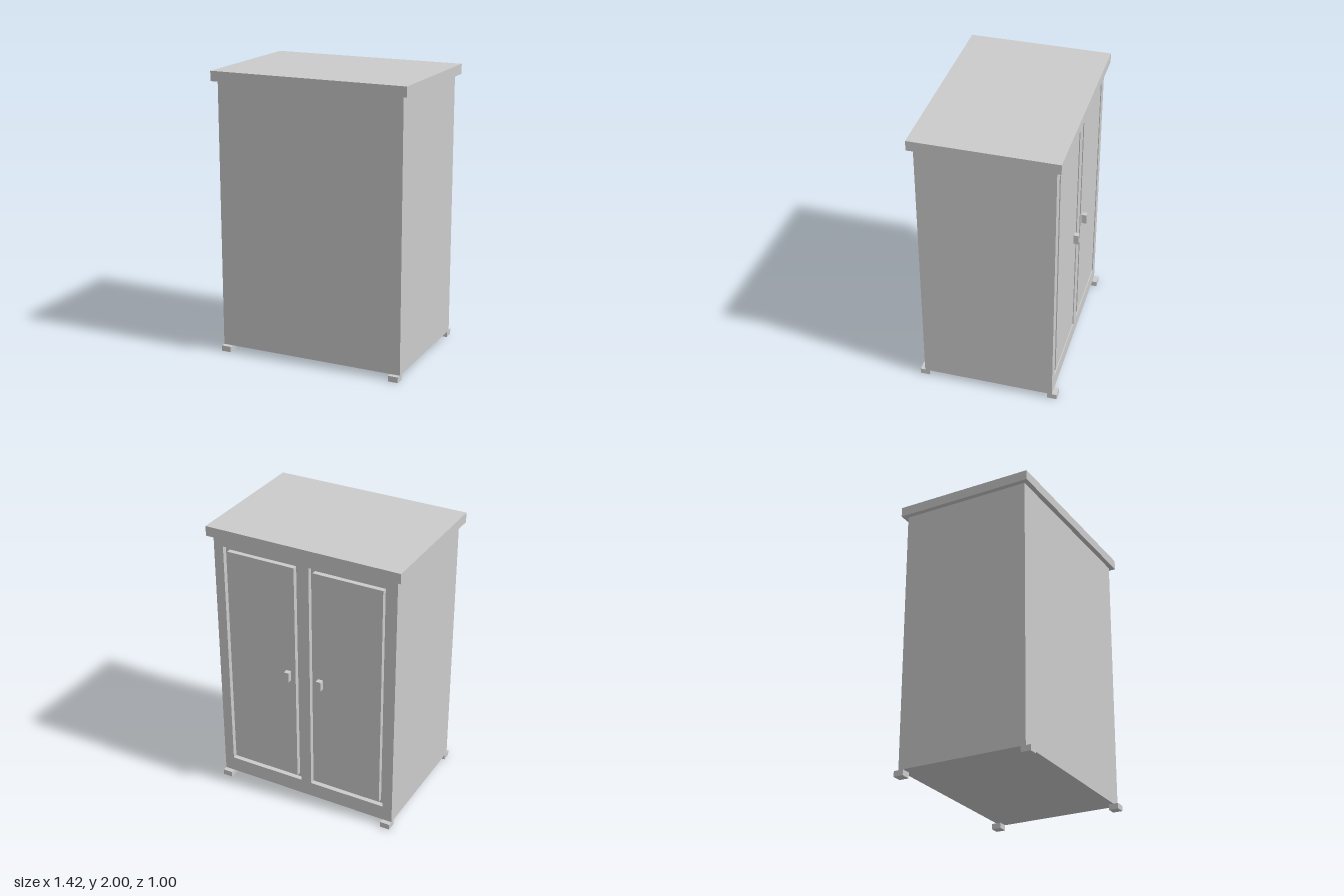
import * as THREE from 'three';

const material = new THREE.MeshStandardMaterial({ color: 0xcccccc, flatShading: true });

// Box given by its minimum and maximum corners
function box(name, [x0, y0, z0], [x1, y1, z1]) {
  const mesh = new THREE.Mesh(new THREE.BoxGeometry(x1 - x0, y1 - y0, z1 - z0), material);
  mesh.position.set((x0 + x1) / 2, (y0 + y1) / 2, (z0 + z1) / 2);
  mesh.name = name;
  return mesh;
}

function rect(Type, x0, y0, x1, y1) {
  return new Type([[x0, y0], [x1, y0], [x1, y1], [x0, y1]].map(([x, y]) => new THREE.Vector2(x, y)));
}

export function createModel() {
  const group = new THREE.Group();
  group.name = 'cabinet';

  const W = 0.675, D = 0.465, bottom = 0.04, top = 1.93;
  const depth = 0.035, groove = 0.03;
  const door = { x0: 0.04, x1: 0.605, y0: 0.15, y1: 1.86 };

  // Carcass and overhanging top
  group.add(box('body', [-W, bottom, -D + depth], [W, top, D]));
  group.add(box('topBoard', [-0.71, top, -0.5], [0.71, 2, 0.5]));

  // Door frame with two openings, on the -z side
  const frame = rect(THREE.Shape, -W, bottom, W, top);
  frame.holes.push(
    rect(THREE.Path, door.x0, door.y0, door.x1, door.y1),
    rect(THREE.Path, -door.x1, door.y0, -door.x0, door.y1)
  );
  const frameMesh = new THREE.Mesh(
    new THREE.ExtrudeGeometry(frame, { depth, bevelEnabled: false }), material);
  frameMesh.position.z = -D;
  frameMesh.name = 'doorFrame';
  group.add(frameMesh);

  for (const s of [-1, 1]) {
    const side = s > 0 ? 'left' : 'right';
    const span = (a, b) => (s > 0 ? [a, b] : [-b, -a]);

    // Door panel set in its opening with a groove all round
    const [p0, p1] = span(door.x0 + groove, door.x1 - groove);
    group.add(box(side + 'DoorPanel',
      [p0, door.y0 + groove, -D], [p1, door.y1 - groove, -D + depth]));

    // Handle
    const [h0, h1] = span(0.105, 0.14);
    group.add(box(side + 'Handle', [h0, 0.97, -0.5], [h1, 1.04, -D]));

    // Feet, stepping out past the front and back
    const [f0, f1] = span(0.605, W);
    group.add(box(side + 'FrontFoot', [f0, 0, 0.43], [f1, bottom, 0.5]));
    group.add(box(side + 'BackFoot', [f0, 0, -0.5], [f1, bottom, -0.43]));
  }
  return group;
}
